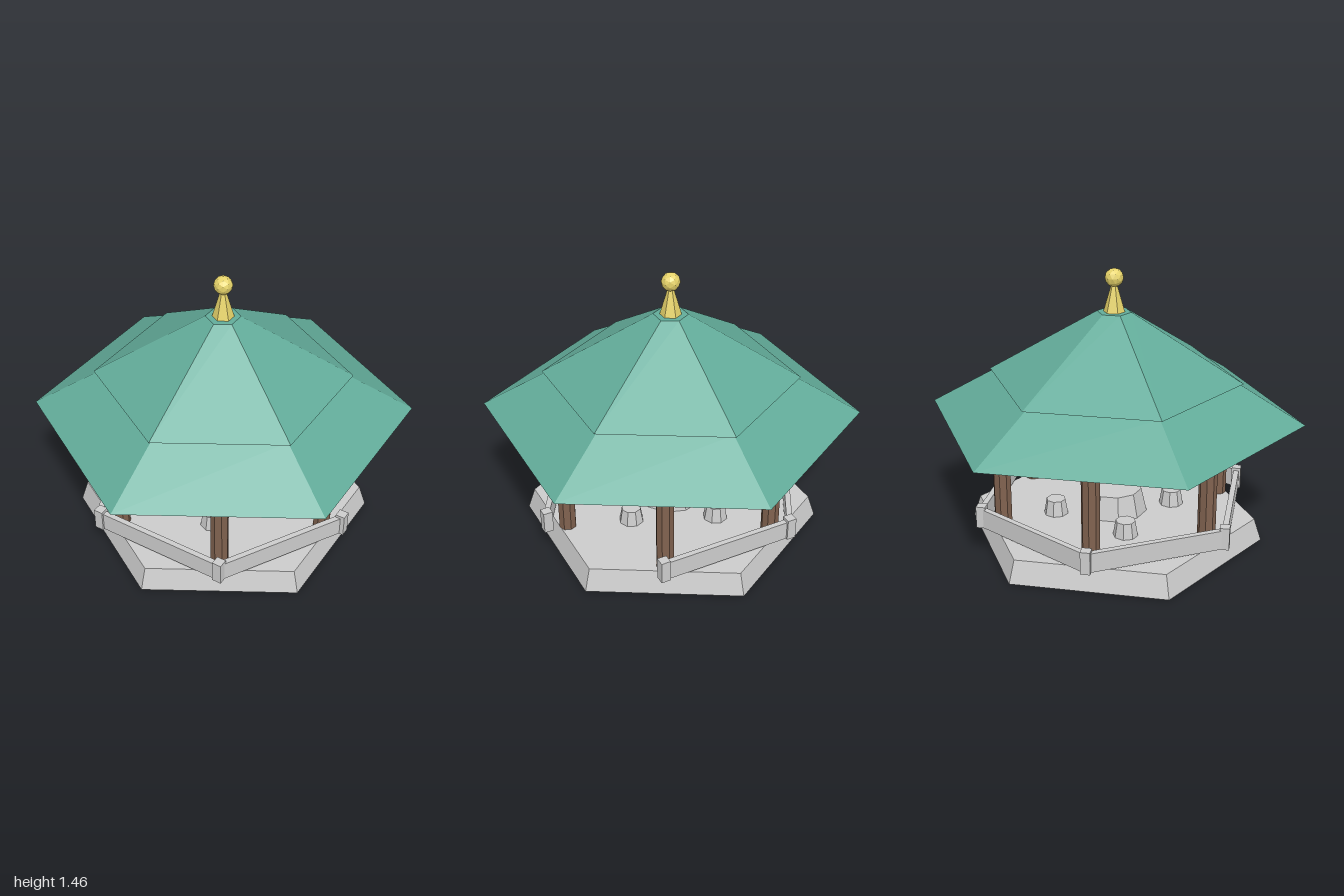
import * as THREE from 'three';

const paint = (color) => new THREE.MeshStandardMaterial({ color, flatShading: true });

export function createModel() {
  const model = new THREE.Group();
  const stone = paint(0xcccccc);
  const wood = paint(0x80624f);
  const tile = paint(0x62ab99);
  const gold = paint(0xe6d36a);

  const add = (name, geometry, material, x, y, z, turn = 0) => {
    const mesh = new THREE.Mesh(geometry, material);
    mesh.name = name;
    mesh.position.set(x, y, z);
    mesh.rotation.y = turn;
    model.add(mesh);
    return mesh;
  };

  // Tapered prism standing between two heights
  const prism = (name, material, rTop, rBottom, y0, y1, sides, x = 0, z = 0) =>
    add(name, new THREE.CylinderGeometry(rTop, rBottom, y1 - y0, sides), material, x, (y0 + y1) / 2, z);

  // Corner i of a hexagon with points on the x axis
  const corner = (r, i) => {
    const a = (i * Math.PI) / 3;
    return new THREE.Vector2(r * Math.cos(a), r * Math.sin(a));
  };

  // Horizontal bar joining corners i and i + 1
  const bar = (name, material, r, i, y0, y1, thickness) => {
    const a = corner(r, i);
    const b = corner(r, i + 1);
    const mid = a.clone().add(b).multiplyScalar(0.5);
    add(name, new THREE.BoxGeometry(a.distanceTo(b), y1 - y0, thickness), material,
      mid.x, (y0 + y1) / 2, mid.y, -Math.atan2(b.y - a.y, b.x - a.x));
  };

  // Plinth and two-tier roof
  prism('plinth', stone, 0.765, 0.805, 0, 0.12, 6);
  prism('lowerRoof', tile, 0.65, 1, 0.68, 0.885, 6);
  prism('upperRoof', tile, 0.09, 0.675, 0.885, 1.235, 6);

  // Finial
  prism('finialSpike', gold, 0.014, 0.056, 1.235, 1.38, 6);
  add('finialBall', new THREE.IcosahedronGeometry(0.049, 1), gold, 0, 1.413, 0);

  for (let i = 0; i < 6; i++) {
    // Columns with a ring of beams under the roof
    const c = corner(0.62, i);
    prism('column', wood, 0.047, 0.047, 0.12, 0.685, 8, c.x, c.y);
    bar('beam', wood, 0.62, i, 0.655, 0.69, 0.04);

    // Railing, left open on one side as the entrance
    const p = corner(0.735, i);
    add('railPost', new THREE.BoxGeometry(0.05, 0.12, 0.05), stone, p.x, 0.193, p.y);
    if (i !== 5) bar('railPanel', stone, 0.735, i, 0.135, 0.238, 0.03);
  }

  // Table with four stools around it
  prism('table', stone, 0.15, 0.18, 0.12, 0.248, 10);
  for (let i = 0; i < 4; i++) {
    const a = 1.2 + (i * Math.PI) / 2;
    prism('stool', stone, 0.052, 0.066, 0.12, 0.203, 8, 0.32 * Math.cos(a), 0.32 * Math.sin(a));
  }

  return model;
}
